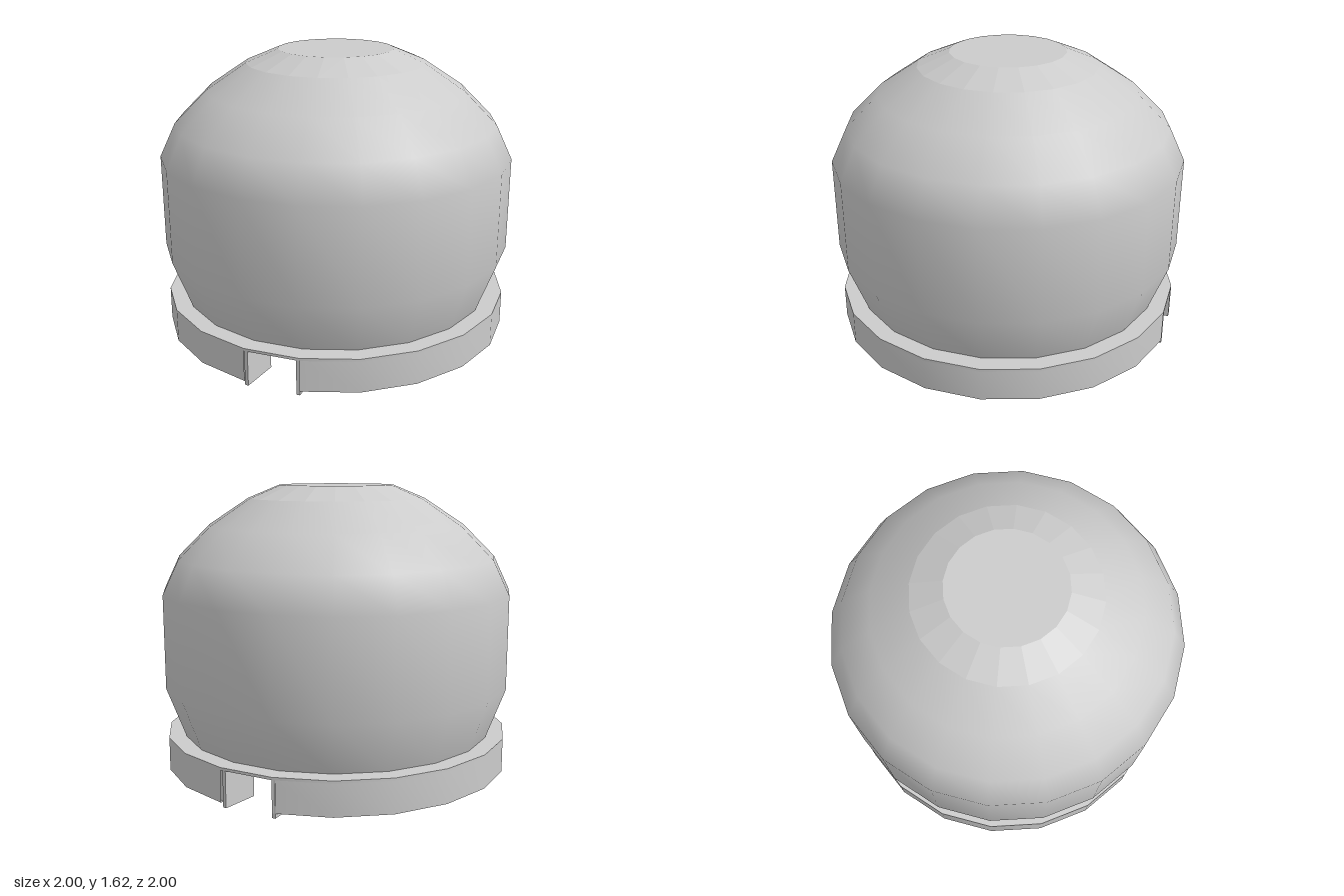
import * as THREE from 'three';
import { toCreasedNormals } from 'three/addons/utils/BufferGeometryUtils.js';

const SIDES = 20;
const STEP = (Math.PI * 2) / SIDES;

export function createModel() {
  const model = new THREE.Group();
  model.name = 'domedHousing';
  const smooth = new THREE.MeshStandardMaterial({ color: 0xcccccc, side: THREE.DoubleSide });
  const flat = new THREE.MeshStandardMaterial({ color: 0xcccccc, flatShading: true });

  const add = (name, geometry, material) => {
    const mesh = new THREE.Mesh(geometry, material);
    mesh.name = name;
    model.add(mesh);
    return mesh;
  };
  const v2 = (pairs) => pairs.map(([r, y]) => new THREE.Vector2(r, y));

  // Smooth dome body
  const profile = v2([[0.89, 0.21], [0.998, 0.5], [1, 1.03], [0.91, 1.22], [0.73, 1.4], [0.505, 1.55]]);
  add('dome', new THREE.LatheGeometry(profile, SIDES), smooth);

  // Faceted crown with a flat top
  const crown = new THREE.CylinderGeometry(0.325, 0.505, 0.075, SIDES);
  add('crown', crown, flat).position.y = 1.5875;

  // Thin plate between dome and skirt
  const plate = toCreasedNormals(new THREE.CylinderGeometry(0.99, 0.99, 0.015, SIDES), 0.6);
  add('basePlate', plate, smooth).position.y = 0.2075;

  // Hollow skirt in two halves, leaving one side open at front and back
  const wall = v2([[0.968, 0.025], [0.99, 0.025], [0.99, 0.2], [0.968, 0.2], [0.968, 0.025]]);
  for (const [name, start] of [['skirtLeft', STEP], ['skirtRight', STEP + Math.PI]]) {
    const half = new THREE.LatheGeometry(wall, SIDES / 2 - 1, start, Math.PI - STEP);
    add(name, toCreasedNormals(half, 0.6), smooth);
  }

  // Upright tabs running inward from the edges of each opening: x, z outside to x, z inside
  const tabs = {
    frontTabRight: [0.01, 0.985, 0.01, 0.765],
    frontTabLeft: [0.295, 0.938, 0.264, 0.765],
    backTabLeft: [-0.02, -0.985, -0.02, -0.77],
    backTabRight: [-0.312, -0.938, -0.285, -0.77],
  };
  for (const [name, [x0, z0, x1, z1]] of Object.entries(tabs)) {
    const length = Math.hypot(x1 - x0, z1 - z0);
    const tab = add(name, new THREE.BoxGeometry(0.02, 0.2, length), flat);
    tab.position.set((x0 + x1) / 2, 0.1, (z0 + z1) / 2);
    tab.rotation.y = Math.atan2(x0 - x1, z0 - z1);
  }

  return model;
}
